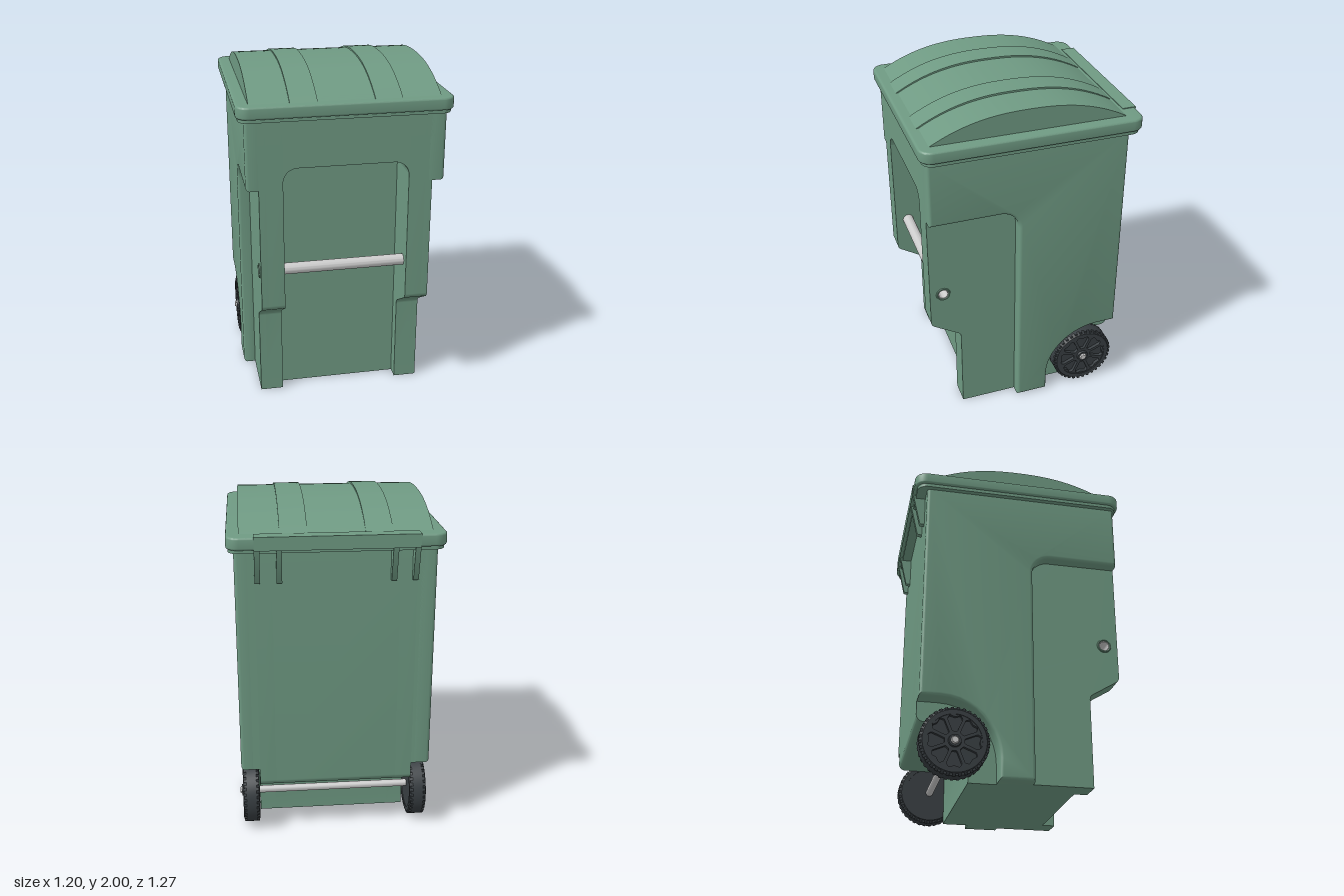
import * as THREE from 'three';
import { toCreasedNormals, mergeGeometries } from 'three/addons/utils/BufferGeometryUtils.js';

const green = new THREE.MeshStandardMaterial({ color: 0x6f9a83 });
const dark = new THREE.MeshStandardMaterial({ color: 0x383e42 });
const grey = new THREE.MeshStandardMaterial({ color: 0xcccccc });

// Closed outline through [u, v, cornerRadius] points
function outline(points, path = new THREE.Shape()) {
  const n = points.length;
  points.forEach(([u, v, r = 0], i) => {
    const p = new THREE.Vector2(u, v);
    const toward = (j, d) => {
      const q = new THREE.Vector2(points[j][0], points[j][1]).sub(p).setLength(d);
      return q.add(p);
    };
    const prev = (i + n - 1) % n, next = (i + 1) % n;
    const a = r ? toward(prev, r) : p, b = r ? toward(next, r) : p;
    if (i === 0) path.moveTo(a.x, a.y); else path.lineTo(a.x, a.y);
    if (r) {
      const c = toward(prev, r * 0.45), d = toward(next, r * 0.45);
      path.bezierCurveTo(c.x, c.y, d.x, d.y, b.x, b.y);
    }
  });
  path.closePath();
  return path;
}

function mesh(name, geometry, material, parent) {
  const m = new THREE.Mesh(toCreasedNormals(geometry, 0.6), material);
  m.name = name;
  parent.add(m);
  return m;
}

function extrude(shape, depth, bevel = 0, curveSegments = 10) {
  const g = new THREE.ExtrudeGeometry(shape, {
    depth: depth - 2 * bevel, curveSegments, bevelEnabled: bevel > 0,
    bevelThickness: bevel, bevelSize: bevel, bevelOffset: -bevel, bevelSegments: 4,
  });
  return g.translate(0, 0, bevel);
}

// Side profile in (z, y) extruded from x0 to x1
const layer = (shape, x0, x1, bevel) =>
  extrude(shape, x1 - x0, bevel).rotateY(-Math.PI / 2).translate(x1, 0, 0);

// Rounded rectangle in plan, extruded from y0 to y1
function plate(hx, hz, r, y0, y1, bevel) {
  const s = outline([[-hx, -hz, r], [hx, -hz, r], [hx, hz, r], [-hx, hz, r]]);
  return extrude(s, y1 - y0, bevel).rotateX(-Math.PI / 2).translate(0, y0, 0);
}

const BAR = { z: 0.52, y: 0.865, r: 0.033 };
const WHEEL = { z: -0.36, y: 0.197, r: 0.192 };
const TOP = 1.785, BACK = -0.56, FRONT = 0.6;

// Lower rear outlines: step for the axle, and the wheel arch
const axleStep = [[BACK, TOP], [BACK, 0.33, 0.04], [-0.27, 0.33, 0.06], [-0.27, 0]];
const wheelArch = [[BACK, TOP], [BACK, 0.445], [-0.115, 0.445, 0.33], [-0.115, 0]];

function buildBody(parent) {
  const body = new THREE.Group();
  body.name = 'body';
  parent.add(body);

  const lowerFront = [[0.42, 0], [0.42, 0.54, 0.02], [FRONT, 0.65, 0.02], [FRONT, TOP]];
  const core = outline([[0.345, 0], [0.345, 1.5], [FRONT, 1.5], [FRONT, TOP], ...axleStep]);
  mesh('centreBody', layer(core, -0.355, 0.355), green, body);

  for (const s of [1, -1]) {
    // Front pillars with a hole for the bar
    const pillar = (rear, x0, x1) => {
      const shape = outline([...lowerFront, ...rear]);
      shape.holes.push(new THREE.Path().absarc(BAR.z, BAR.y, 0.034, 0, Math.PI * 2, true));
      mesh('frontPillar', s > 0 ? layer(shape, x0, x1) : layer(shape, -x1, -x0), green, body);
    };
    pillar(axleStep, 0.355, 0.45);
    pillar(wheelArch, 0.45, 0.49);

    // Outer side skin, cut away at the front and over the wheel
    const skin = outline([[0.08, 0], [0.08, 1.38, 0.11], [FRONT, 1.38], [FRONT, TOP], ...wheelArch]);
    mesh('sidePanel', s > 0 ? layer(skin, 0.45, 0.56, 0.02) : layer(skin, -0.56, -0.45, 0.02), green, body);

    // Rounded upper corner of the front recess
    const r = 0.075, x = 0.355 * s;
    const corner = new THREE.Shape();
    corner.moveTo(x, 1.5);
    corner.lineTo(x - r * s, 1.5);
    corner.quadraticCurveTo(x - 0.01 * s, 1.49, x, 1.5 - r);
    corner.closePath();
    mesh('recessCorner', extrude(corner, FRONT - 0.345).translate(0, 0, 0.345), green, body);

    // Collar around the bar end
    const collar = new THREE.TorusGeometry(0.037, 0.006, 8, 32).rotateY(Math.PI / 2);
    mesh('barCollar', collar.translate(0.49 * s, BAR.y, BAR.z), green, body);
  }

  // Hollow grab bar
  const { r } = BAR, ri = 0.027, h = 0.49;
  const ring = [[ri, -h], [r, -h], [r, h], [ri, h], [ri, -h]].map(p => new THREE.Vector2(...p));
  const bar = new THREE.LatheGeometry(ring, 32).rotateZ(-Math.PI / 2);
  mesh('grabBar', bar.translate(0, BAR.y, BAR.z), grey, body);
}

function buildLid(parent) {
  const lid = new THREE.Group();
  lid.name = 'lid';
  parent.add(lid);
  mesh('lidLip', plate(0.588, 0.618, 0.06, 1.77, 1.8), green, lid);
  mesh('lidRim', plate(0.6, 0.635, 0.07, 1.79, 1.86, 0.012), green, lid);

  // Domed strip: arched profile in (z, y), extruded across x
  const dome = (name, x0, x1, zBack, zFront, height) => {
    const mid = (zBack + zFront) / 2, half = (zFront - zBack) / 2;
    const s = new THREE.Shape();
    s.moveTo(zBack, 1.85);
    for (let i = 0; i <= 40; i++) {
      const t = -Math.cos((i / 40) * Math.PI);
      s.lineTo(mid + half * t, 1.86 + height * (1 - Math.abs(t) ** 2.4));
    }
    s.lineTo(zFront, 1.85);
    s.closePath();
    mesh(name, layer(s, x0, x1), green, lid);
  };
  dome('lidDome', -0.53, 0.53, -0.545, 0.572, 0.13);
  dome('lidRib', 0.158, 0.31, -0.552, 0.585, 0.14);
  dome('lidRib', -0.31, -0.158, -0.552, 0.585, 0.14);

  // Rear hinge rail and its tapered brackets
  mesh('hingeRail', new THREE.BoxGeometry(0.9, 0.076, 0.08).translate(0, 1.826, -0.6), green, lid);
  const fin = outline([[-0.55, 1.8], [-0.635, 1.8], [-0.587, 1.59, 0.01], [-0.55, 1.59]]);
  for (const x of [-0.435, -0.315, 0.315, 0.435]) {
    mesh('hingeBracket', layer(fin, x - 0.015, x + 0.015), green, lid);
  }
}

// Wheel about the x axis with its outer face toward +x
function buildWheel() {
  const wheel = new THREE.Group();
  wheel.name = 'wheel';
  const R = WHEEL.r, w = 0.05;
  const section = [[0.15, -w], [0.175, -w], [R, -0.03], [R, 0.03], [0.175, w], [0.15, w], [0.15, -w]];
  const tyre = new THREE.LatheGeometry(section.map(p => new THREE.Vector2(...p)), 56);
  mesh('tyre', tyre.rotateZ(-Math.PI / 2), dark, wheel);
  mesh('wheelDisc', new THREE.CylinderGeometry(0.155, 0.155, 0.07, 48).rotateZ(-Math.PI / 2)
    .translate(-0.01, 0, 0), dark, wheel);

  // Spoked face with eight pockets
  const face = new THREE.Shape().absarc(0, 0, 0.156, 0, Math.PI * 2);
  for (let i = 0; i < 8; i++) {
    const a = (i * Math.PI) / 4, c = Math.cos(a), s = Math.sin(a);
    const pocket = [[0.055, -0.013], [0.055, 0.013], [0.125, 0.042], [0.145, 0.03], [0.136, 0], [0.145, -0.03], [0.125, -0.042]];
    face.holes.push(outline(pocket.map(([u, v]) => [u * c - v * s, u * s + v * c, 0.005]), new THREE.Path()));
  }
  mesh('spokes', extrude(face, 0.02, 0, 24).rotateY(Math.PI / 2).translate(0.025, 0, 0), dark, wheel);

  // Tread lugs along both shoulders
  const lugs = [];
  for (let i = 0; i < 36; i++) {
    for (const x of [-0.036, 0.036]) {
      lugs.push(new THREE.BoxGeometry(0.018, 0.016, 0.016)
        .translate(x, 0.184, 0).rotateX(((i + (x > 0 ? 0.5 : 0)) * Math.PI) / 18));
    }
  }
  mesh('treadLugs', mergeGeometries(lugs), dark, wheel);

  // Hub boss and axle cap
  mesh('hub', new THREE.CylinderGeometry(0.034, 0.038, 0.02, 24).rotateZ(-Math.PI / 2)
    .translate(0.048, 0, 0), dark, wheel);
  mesh('axleCap', new THREE.CylinderGeometry(0.018, 0.026, 0.014, 8).rotateZ(-Math.PI / 2)
    .translate(0.061, 0, 0), grey, wheel);
  return wheel;
}

export function createModel() {
  const model = new THREE.Group();
  model.name = 'wheeledBin';
  buildBody(model);
  buildLid(model);
  for (const s of [1, -1]) {
    const wheel = buildWheel();
    wheel.position.set(0.505 * s, WHEEL.y, WHEEL.z);
    if (s < 0) wheel.rotation.y = Math.PI;
    model.add(wheel);
  }
  mesh('axle', new THREE.CylinderGeometry(0.022, 0.022, 0.96, 24).rotateZ(Math.PI / 2)
    .translate(0, WHEEL.y, WHEEL.z), grey, model);
  return model;
}
